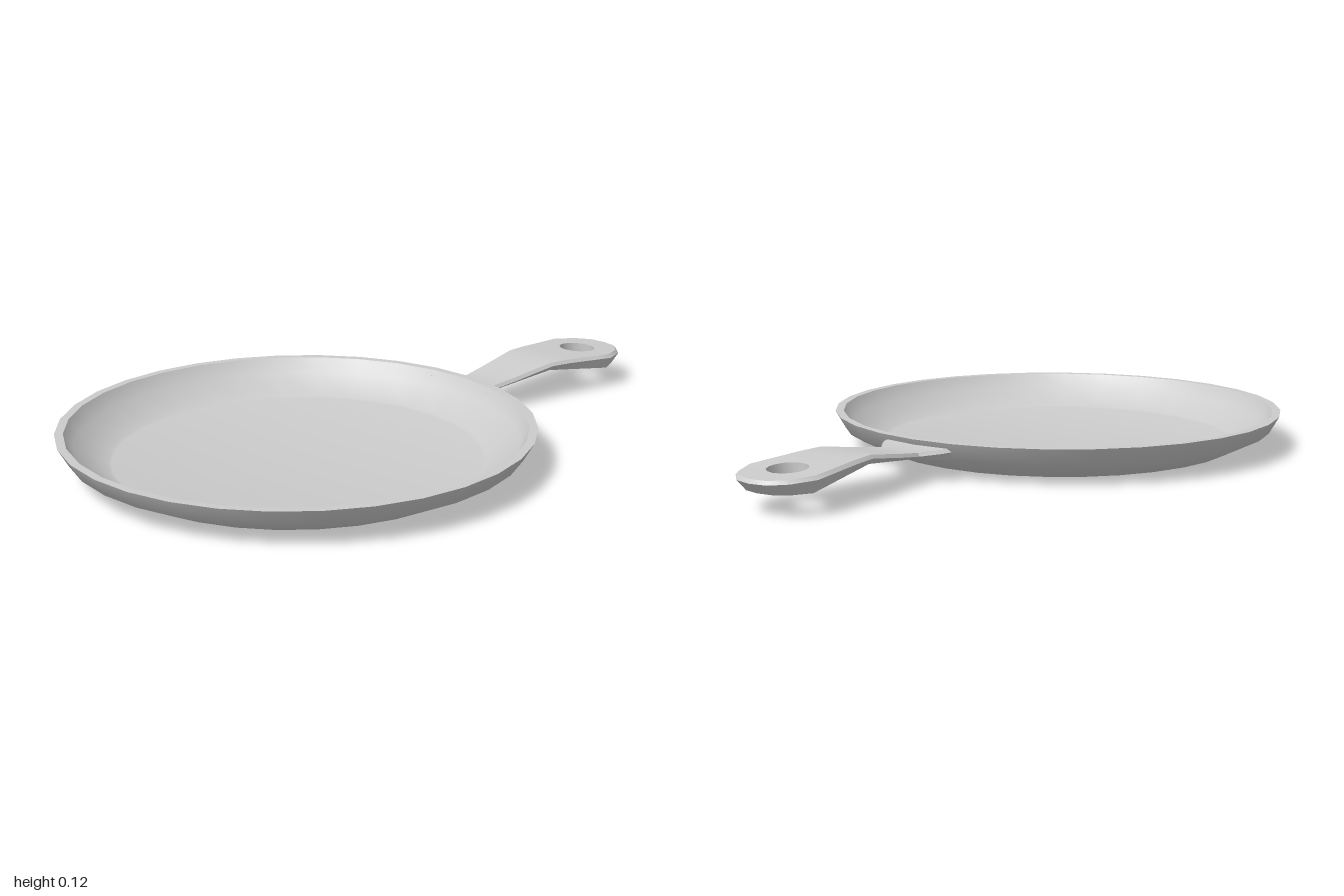
import * as THREE from 'three';
import { toCreasedNormals } from 'three/addons/utils/BufferGeometryUtils.js';

const PAN_Z = 0.315, HOLE_Z = -0.86, HOLE_R = 0.057;

// Piecewise-linear lookup, keys in descending z
function along(keys, z) {
  for (let i = 1; i < keys.length; i++) {
    const [z0, y0] = keys[i - 1], [z1, y1] = keys[i];
    if (z >= z1) return y0 + (y1 - y0) * Math.min(1, Math.max(0, (z - z0) / (z1 - z0)));
  }
  return keys[keys.length - 1][1];
}

// Side profile of the handle
const topY = z => along([[-0.34, 0.095], [-0.42, 0.087], [-0.5, 0.098], [-0.64, 0.12], [-0.71, 0.118], [-0.88, 0.107], [-1, 0.1]], z);
const bottomY = z => along([[-0.34, 0.06], [-0.42, 0.07], [-0.64, 0.094], [-0.88, 0.06], [-1, 0.06]], z);

// Pull a plan point inwards, for the bevelled edges
function inset([x, z], kx, kz) {
  return [x * kx, z < -0.88 ? -0.88 + (z + 0.88) * kz : z];
}
const topPoint = p => { const [x, z] = inset(p, 0.92, 0.94); return [x, topY(z), z]; };
const edgePoint = p => [p[0], topY(p[1]) - 0.01, p[1]];
const bottomPoint = p => { const [x, z] = inset(p, 0.86, 0.76); return [x, bottomY(z), z]; };

function buildHandle() {
  const pos = [];
  const quad = (a, b, c, d) => pos.push(...a, ...b, ...c, ...a, ...c, ...d);
  // Outer bevelled side between neighbouring plan points
  const side = (p, q) => {
    quad(topPoint(p), topPoint(q), edgePoint(q), edgePoint(p));
    quad(edgePoint(p), edgePoint(q), bottomPoint(q), bottomPoint(p));
  };

  // Neck: rows of plan points from the pan to the head
  const cols = [-1, -0.5, 0, 0.5, 1];
  const stations = [[-0.345, 0.13], [-0.368, 0.115], [-0.42, 0.072], [-0.5, 0.082], [-0.57, 0.09],
    [-0.64, 0.099], [-0.71, 0.108], [-0.78, 0.117]];
  const rows = stations.map(([z, w], i) => cols.map(t =>
    [t * w, i === 0 ? PAN_Z - Math.sqrt(0.65 ** 2 - (t * w) ** 2) : z]));
  for (let i = 0; i + 1 < rows.length; i++) {
    const a = rows[i], b = rows[i + 1];
    for (let j = 0; j < 4; j++) {
      quad(...[a[j], a[j + 1], b[j + 1], b[j]].map(topPoint));
      quad(...[a[j], b[j], b[j + 1], a[j + 1]].map(bottomPoint));
    }
    side(a[0], b[0]);
    side(b[4], a[4]);
  }

  // Head: ring of faces between the outline and the hanging hole
  const half = [[0, -1], [0.055, -0.99], [0.1, -0.95], [0.13, -0.88], [0.124, -0.83],
    [0.117, -0.78], [0.0585, -0.78], [0, -0.78]];
  const outline = [...half, ...half.slice(1, -1).reverse().map(([x, z]) => [-x, z])];
  const n = outline.length;
  const holePoint = (i, yOf) => {
    const a = i / n * Math.PI * 2, z = HOLE_Z - HOLE_R * Math.cos(a);
    return [HOLE_R * Math.sin(a), yOf(z), z];
  };
  outline.forEach((p, i) => {
    const q = outline[(i + 1) % n];
    const t0 = holePoint(i, topY), t1 = holePoint(i + 1, topY);
    const b0 = holePoint(i, bottomY), b1 = holePoint(i + 1, bottomY);
    quad(topPoint(p), t0, t1, topPoint(q));
    quad(bottomPoint(p), bottomPoint(q), b1, b0);
    quad(t0, b0, b1, t1);
    if (p[1] !== -0.78 || q[1] !== -0.78) side(q, p);
  });

  const geometry = new THREE.BufferGeometry();
  geometry.setAttribute('position', new THREE.Float32BufferAttribute(pos, 3));
  return toCreasedNormals(geometry, 0.7);
}

export function createModel() {
  const group = new THREE.Group();
  const material = new THREE.MeshStandardMaterial({ color: 0xcccccc, side: THREE.DoubleSide });

  // Pan: outside wall, rim, inside wall and floor in one turned profile
  const profile = [[0, 0], [0.53, 0], [0.545, 0.004], [0.655, 0.058], [0.685, 0.11],
    [0.66, 0.11], [0.635, 0.068], [0.54, 0.017], [0.53, 0.015], [0, 0.015]]
    .map(([r, y]) => new THREE.Vector2(r, y));
  const pan = new THREE.Mesh(toCreasedNormals(new THREE.LatheGeometry(profile, 32), 0.7), material);
  pan.name = 'pan';
  pan.position.z = PAN_Z;
  group.add(pan);

  // Handle with hanging hole
  const handle = new THREE.Mesh(buildHandle(), material);
  handle.name = 'handle';
  group.add(handle);
  return group;
}
